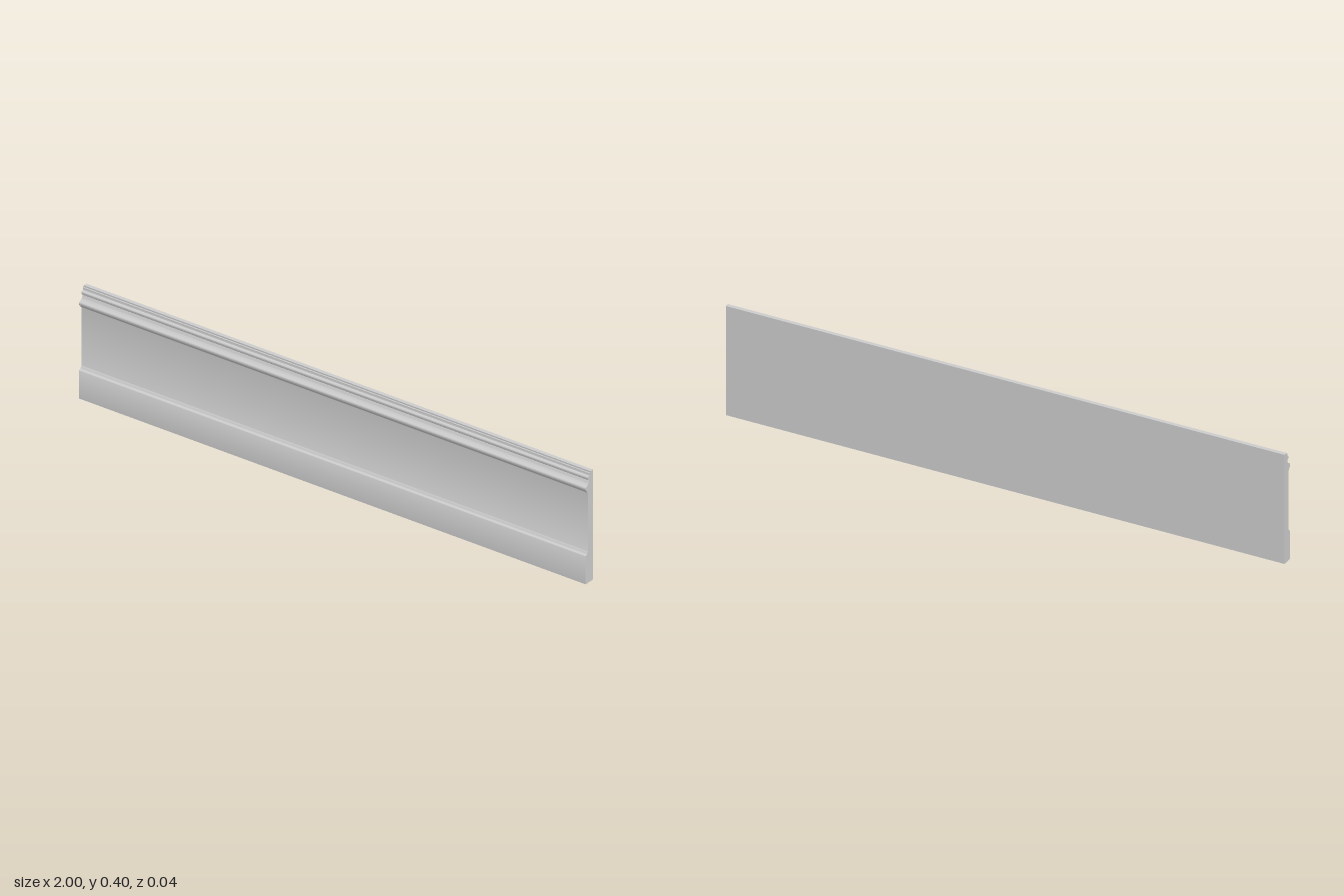
import * as THREE from 'three';
import { toCreasedNormals } from 'three/addons/utils/BufferGeometryUtils.js';

const LENGTH = 2, HEIGHT = 0.4, BACK = -0.019, FRONT = 0.02, PANEL = 0.007;

// Moulding cross-section, drawn with (-z, y) so that a quarter turn lays the extrusion along x
function profile() {
  const s = new THREE.Shape();
  const line = (z, y) => s.lineTo(-z, y);
  const curve = (z1, y1, z2, y2, z, y) => s.bezierCurveTo(-z1, y1, -z2, y2, -z, y);

  s.moveTo(-BACK, 0);
  line(FRONT, 0);
  // plinth and the small ogee above it
  line(FRONT, 0.101);
  curve(FRONT, 0.104, 0.015, 0.103, 0.013, 0.105);
  curve(0.01, 0.107, 0.011, 0.112, PANEL, 0.114);
  // flat panel
  line(PANEL, 0.328);
  // nose of the upper moulding
  line(0.011, 0.329);
  curve(0.012, 0.336, 0.015, 0.334, 0.016, 0.337);
  curve(0.021, 0.341, 0.021, 0.348, 0.018, 0.35);
  // cove
  curve(0.009, 0.354, 0.002, 0.36, 0, 0.372);
  // bead
  curve(0.005, 0.37, 0.008, 0.374, 0.008, 0.378);
  curve(0.008, 0.383, 0.005, 0.386, 0, 0.386);
  // stepped top edge
  line(0, 0.395);
  line(-0.005, 0.395);
  line(-0.005, HEIGHT);
  line(BACK, HEIGHT);
  s.closePath();
  return s;
}

export function createModel() {
  const group = new THREE.Group();
  group.name = 'baseboard';

  let geometry = new THREE.ExtrudeGeometry(profile(), {
    depth: LENGTH, bevelEnabled: false, curveSegments: 8,
  });
  geometry.translate(0, 0, -LENGTH / 2);
  geometry.rotateY(Math.PI / 2);
  geometry = toCreasedNormals(geometry, 0.6);

  const board = new THREE.Mesh(geometry, new THREE.MeshStandardMaterial({ color: 0xcccccc }));
  board.name = 'skirtingBoard';
  group.add(board);
  return group;
}
